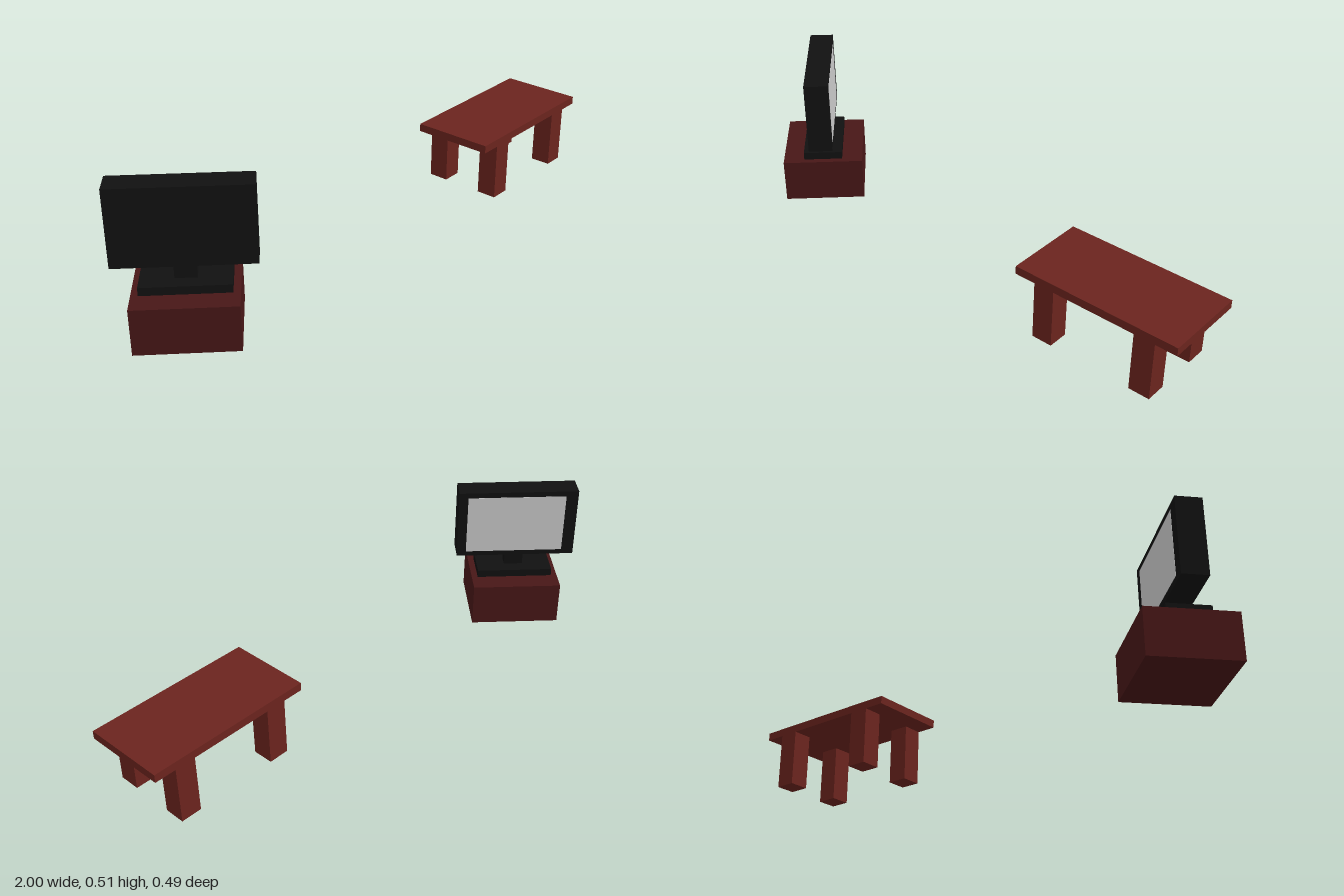
import * as THREE from 'three';

const material = (color) => new THREE.MeshStandardMaterial({ color, flatShading: true });

// Box standing on height y, centred on x and z
function addBox(parent, name, mat, [w, h, d], [x, y, z]) {
  const mesh = new THREE.Mesh(new THREE.BoxGeometry(w, h, d), mat);
  mesh.name = name;
  mesh.position.set(x, y + h / 2, z);
  parent.add(mesh);
}

export function createModel() {
  const model = new THREE.Group();
  model.name = 'livingRoomSet';
  const tableWood = material(0x6b241e);
  const cabinetWood = material(0x481717);
  const black = material(0x111111);
  const grey = material(0xcccccc);

  // Coffee table: thin top on four square legs flush with its long edges
  const table = new THREE.Group();
  table.name = 'coffeeTable';
  table.position.set(0.703, 0, 0.097);
  addBox(table, 'tableTop', tableWood, [0.595, 0.029, 0.296], [0, 0.241, 0]);
  for (const sx of [-1, 1]) {
    for (const sz of [-1, 1]) {
      addBox(table, 'tableLeg', tableWood, [0.074, 0.209, 0.074], [sx * 0.185, 0.032, sz * 0.111]);
    }
  }
  model.add(table);

  // Television on its cabinet, turned to face the back of the table
  const corner = new THREE.Group();
  corner.name = 'televisionUnit';
  corner.position.set(-0.779, 0, -0.021);
  corner.rotation.y = -Math.PI / 4;
  addBox(corner, 'cabinet', cabinetWood, [0.33, 0.16, 0.296], [0, 0, 0]);
  addBox(corner, 'televisionFoot', black, [0.284, 0.028, 0.143], [0, 0.16, 0]);
  addBox(corner, 'televisionNeck', black, [0.07, 0.053, 0.046], [0, 0.188, 0]);
  addBox(corner, 'televisionBody', black, [0.447, 0.267, 0.087], [0, 0.241, 0]);
  addBox(corner, 'screen', grey, [0.368, 0.228, 0.004], [0.006, 0.26, -0.0425]);
  model.add(corner);

  return model;
}
